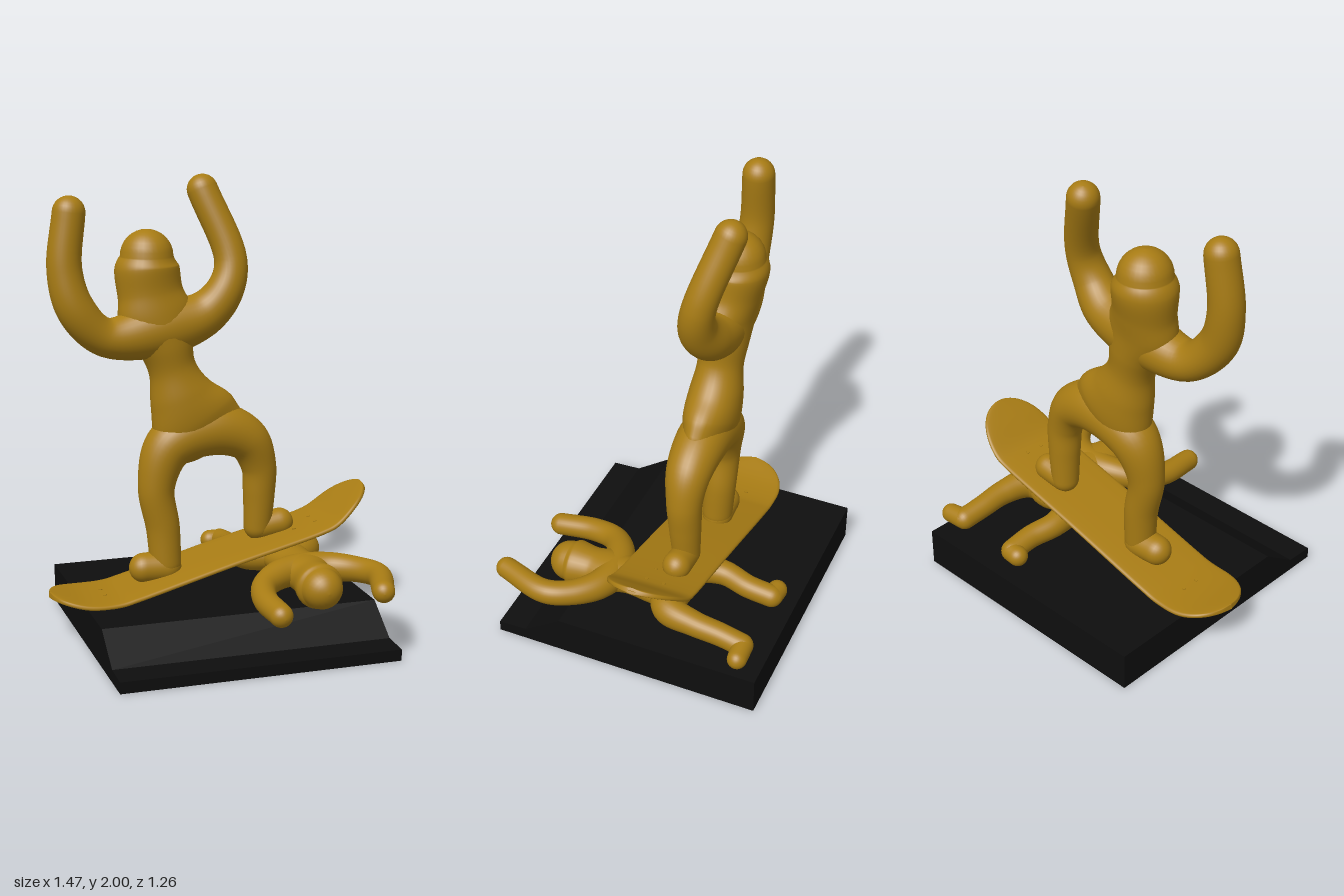
import * as THREE from 'three';

const gold = new THREE.MeshStandardMaterial({ color: 0xa87c14 });
const black = new THREE.MeshStandardMaterial({ color: 0x0e0e0e });
const Z = new THREE.Vector3(0, 0, 1);
const Y = new THREE.Vector3(0, 1, 0);
const SIDES = 32;

function named(name, geometry, material = gold) {
  const mesh = new THREE.Mesh(geometry, material);
  mesh.name = name;
  return mesh;
}

// Closed skin over rings { p, t, a, b }: centre, direction, half-sizes across and along the depth axis
function skin(rings, depth, square = 1) {
  const pos = [], index = [];
  for (const { p, t, a, b } of rings) {
    const side = depth.clone().cross(t).normalize();
    const up = t.clone().cross(side);
    for (let j = 0; j < SIDES; j++) {
      const c = Math.cos((j / SIDES) * Math.PI * 2), s = Math.sin((j / SIDES) * Math.PI * 2);
      const v = p.clone()
        .addScaledVector(side, a * Math.sign(c) * Math.abs(c) ** square)
        .addScaledVector(up, b * s);
      pos.push(v.x, v.y, v.z);
    }
  }
  for (let i = 0; i < rings.length - 1; i++) {
    for (let j = 0; j < SIDES; j++) {
      const a = i * SIDES + j, b = i * SIDES + (j + 1) % SIDES;
      index.push(a, b, a + SIDES, b, b + SIDES, a + SIDES);
    }
  }
  const g = new THREE.BufferGeometry();
  g.setAttribute('position', new THREE.Float32BufferAttribute(pos, 3));
  g.setIndex(index);
  g.computeVertexNormals();
  return g;
}

// Rounded limb through points [x, y, z, radius, depthRadius]
function limb(name, points, depth) {
  const path = new THREE.CatmullRomCurve3(points.map(([x, y, z]) => new THREE.Vector3(x, y, z)));
  const size = new THREE.CatmullRomCurve3(
    points.map(([, , , a, b = a]) => new THREE.Vector3(a, b, 0)), false, 'catmullrom');
  const steps = (points.length - 1) * 9;
  const ring = (u, angle = 0) => {
    const t = path.getTangent(u), r = size.getPoint(u), k = Math.max(Math.cos(angle), 0.002);
    const p = path.getPoint(u).addScaledVector(t, Math.min(r.x, r.y) * Math.sin(angle));
    return { p, t, a: r.x * k, b: r.y * k };
  };
  const rings = [];
  for (let i = 8; i > 0; i--) rings.push(ring(0, -i * Math.PI / 16));
  for (let i = 0; i <= steps; i++) rings.push(ring(i / steps));
  for (let i = 1; i <= 8; i++) rings.push(ring(1, i * Math.PI / 16));
  return named(name, skin(rings, depth));
}

function standingFigure() {
  const g = new THREE.Group();
  g.name = 'standingFigure';
  g.add(
    limb('torsoAndHead', [
      [-0.02, 0.87, -0.14, 0.2, 0.09], [-0.07, 0.95, -0.14, 0.195, 0.115],
      [-0.12, 1.05, -0.14, 0.145, 0.115], [-0.16, 1.17, -0.14, 0.105, 0.1],
      [-0.19, 1.28, -0.14, 0.125, 0.11], [-0.23, 1.4, -0.145, 0.165, 0.115],
      [-0.25, 1.5, -0.16, 0.143, 0.12], [-0.262, 1.61, -0.17, 0.14, 0.135],
      [-0.262, 1.66, -0.17, 0.115, 0.118]], Z),
    limb('arms', [
      [-0.61, 1.86, -0.12, 0.07], [-0.635, 1.62, -0.11, 0.075], [-0.59, 1.45, -0.1, 0.083],
      [-0.46, 1.325, -0.12, 0.085, 0.09], [-0.21, 1.35, -0.135, 0.125, 0.11],
      [-0.02, 1.4, -0.14, 0.1, 0.1], [0.075, 1.5, -0.13, 0.083],
      [0.11, 1.63, -0.15, 0.072], [0.01, 1.93, -0.24, 0.068]], Z),
    limb('hipsAndLegs', [
      [-0.2, 0.3, -0.125, 0.07], [-0.21, 0.46, -0.13, 0.075], [-0.238, 0.65, -0.13, 0.082],
      [-0.17, 0.83, -0.14, 0.11, 0.11], [0.02, 0.89, -0.14, 0.12, 0.115],
      [0.18, 0.83, -0.14, 0.1, 0.1], [0.24, 0.71, -0.145, 0.08],
      [0.245, 0.58, -0.15, 0.072], [0.24, 0.42, -0.155, 0.062]], Z),
    limb('rightFoot', [[-0.2, 0.28, -0.125, 0.07], [-0.3, 0.283, -0.125, 0.066]], Z),
    limb('leftFoot', [[0.25, 0.415, -0.155, 0.06], [0.345, 0.43, -0.155, 0.063]], Z));
  return g;
}

function lyingFigure() {
  const g = new THREE.Group();
  g.name = 'lyingFigure';
  g.add(
    limb('torsoAndHead', [
      [0.345, 0.28, -0.17, 0.11, 0.06], [0.348, 0.285, -0.06, 0.105, 0.07],
      [0.352, 0.29, 0.06, 0.09, 0.07], [0.355, 0.29, 0.16, 0.115, 0.075],
      [0.355, 0.28, 0.24, 0.092, 0.085], [0.355, 0.275, 0.33, 0.105, 0.1],
      [0.355, 0.275, 0.36, 0.09, 0.09]], Y),
    limb('arms', [
      [0.11, 0.235, 0.53, 0.05], [0.1, 0.25, 0.36, 0.053], [0.14, 0.27, 0.24, 0.056],
      [0.24, 0.29, 0.165, 0.065], [0.355, 0.295, 0.14, 0.075, 0.07], [0.47, 0.3, 0.165, 0.065],
      [0.565, 0.305, 0.25, 0.056], [0.61, 0.31, 0.36, 0.053], [0.545, 0.312, 0.58, 0.048]], Y),
    limb('hipsAndLegs', [
      [0.185, 0.25, -0.54, 0.05], [0.185, 0.265, -0.43, 0.051], [0.16, 0.28, -0.3, 0.056],
      [0.2, 0.285, -0.17, 0.07], [0.34, 0.285, -0.13, 0.08, 0.07], [0.47, 0.285, -0.17, 0.07],
      [0.505, 0.28, -0.3, 0.056], [0.508, 0.265, -0.43, 0.051], [0.515, 0.25, -0.53, 0.05]], Y),
    limb('rightFoot', [[0.185, 0.25, -0.545, 0.046], [0.14, 0.25, -0.55, 0.045]], Y),
    limb('leftFoot', [[0.515, 0.25, -0.535, 0.046], [0.595, 0.245, -0.54, 0.043]], Y));
  return g;
}

function skateboard() {
  const g = new THREE.Group();
  g.name = 'skateboard';
  // Deck: flat sections along a bent line, narrowing to round ends
  const path = new THREE.CatmullRomCurve3([
    [-0.73, 0.205], [-0.58, 0.18], [-0.45, 0.182], [-0.37, 0.2], [0.05, 0.315],
    [0.48, 0.427], [0.54, 0.452], [0.64, 0.53], [0.726, 0.595],
  ].map(([x, y]) => new THREE.Vector3(x, y, -0.115)));
  const rings = [];
  for (let i = 0; i <= 90; i++) {
    const u = 0.5 - 0.5 * Math.cos((i / 90) * Math.PI);
    const p = path.getPoint(u);
    const end = Math.min(1, Math.max(0, (Math.abs(p.x) - 0.515) / 0.212));
    const width = Math.max(0.001, 0.185 * (1 - end ** 2.2) ** 0.5);
    rings.push({ p, t: path.getTangent(u), a: i % 90 ? 0.013 : 0.001, b: width });
  }
  g.add(named('deck', skin(rings, Z, 0.35)));

  // Bolts in two groups of four
  const slope = Math.atan2(0.25, 0.94);
  for (const [x0, y0, tilt] of [[0.44, 0.417, slope], [-0.44, 0.184, 0.08]]) {
    for (const dx of [-0.05, 0.05]) {
      for (const dz of [-0.04, 0.04]) {
        const bolt = named('bolt', new THREE.CylinderGeometry(0.009, 0.009, 0.03, 12));
        bolt.position.set(x0 + dx, y0 + dx * Math.tan(tilt), -0.115 + dz);
        bolt.rotation.z = tilt;
        g.add(bolt);
      }
    }
  }
  return g;
}

// Slab with a ramp and a low lip at the front
function base() {
  const profile = new THREE.Shape([
    [-0.635, 0], [0.59, 0], [0.59, 0.05], [0.46, 0.055], [0.29, 0.172], [-0.635, 0.172],
  ].map(([z, y]) => new THREE.Vector2(z, y)));
  const geometry = new THREE.ExtrudeGeometry(profile, { depth: 1.225, bevelEnabled: false });
  geometry.rotateY(-Math.PI / 2).translate(0.63, 0, 0);
  return named('base', geometry, black);
}

export function createModel() {
  const model = new THREE.Group();
  model.name = 'skateboarderStatue';
  model.add(base(), skateboard(), standingFigure(), lyingFigure());
  return model;
}
